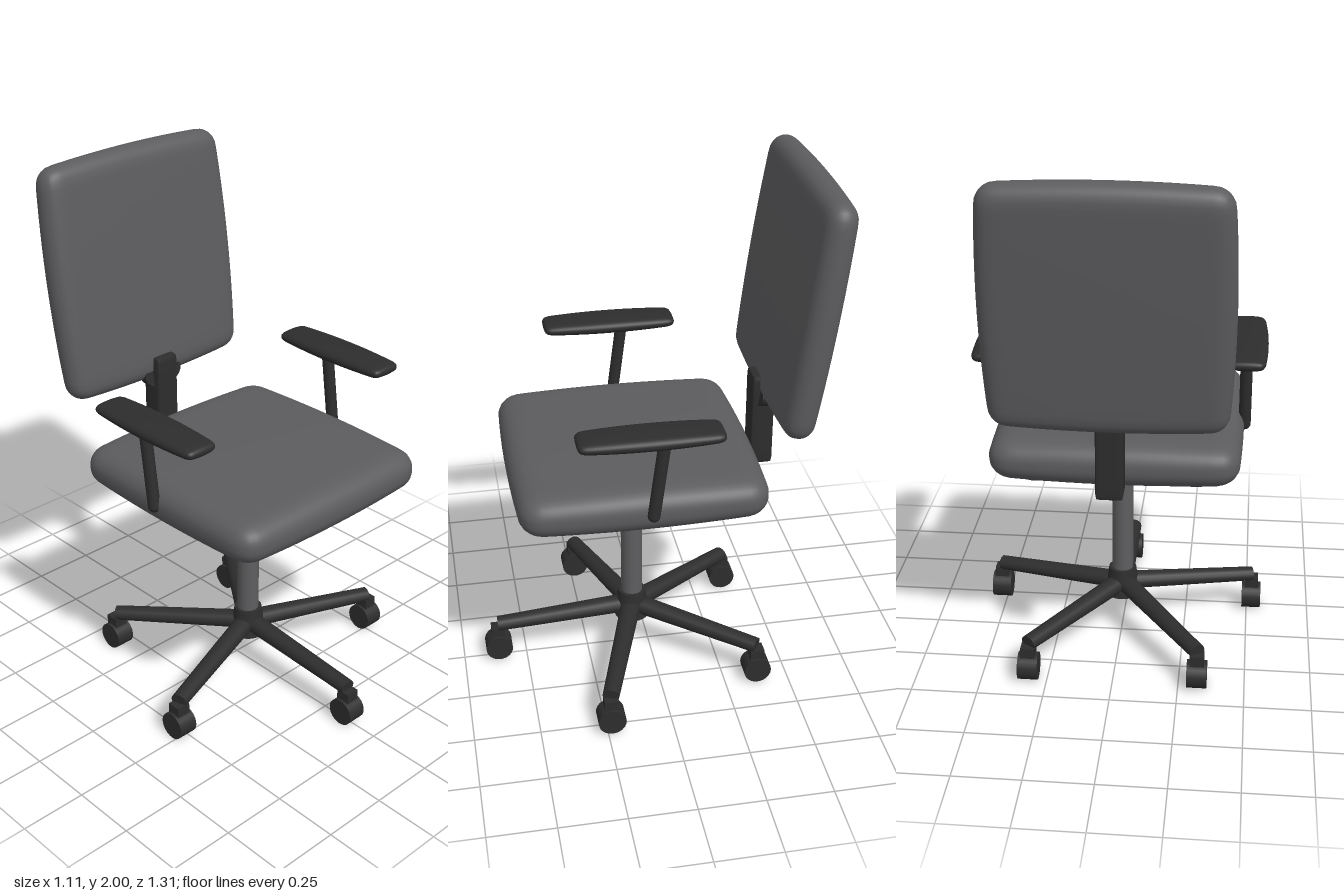
import * as THREE from 'three';
import { mergeVertices } from 'three/addons/utils/BufferGeometryUtils.js';

const CZ = 0.065; // z of the column axis

// Rounded cushion: a box whose vertices are pulled onto a rounded shape, then bowed slightly.
// bow = how far each side retreats towards its ends [x, y, z]
function cushion(w, h, d, r, bow, n = 24) {
  const geo = new THREE.BoxGeometry(2, 2, 2, n, n, n);
  geo.deleteAttribute('normal');
  geo.deleteAttribute('uv');
  const merged = mergeVertices(geo);
  const pos = merged.attributes.position;
  const half = new THREE.Vector3(w, h, d).multiplyScalar(0.5);
  const inner = half.clone().subScalar(r).max(new THREE.Vector3());
  const ease = t => Math.sign(t) * (1 - Math.pow(1 - Math.min(1, Math.abs(t)), 1.6));
  const p = new THREE.Vector3(), c = new THREE.Vector3();
  for (let i = 0; i < pos.count; i++) {
    p.fromBufferAttribute(pos, i);
    p.set(ease(p.x), ease(p.y), ease(p.z)).multiply(half);
    c.copy(p).clamp(inner.clone().negate(), inner);
    p.sub(c).normalize().multiplyScalar(p.lengthSq() > 0 ? r : 0).add(c);
    const u = p.clone().divide(half);
    const sx = u.x * u.x, sy = u.y * u.y, sz = u.z * u.z;
    p.x -= u.x * bow[0] * Math.max(sy * (h > d), sz * (d >= h));
    p.y -= u.y * bow[1] * (h > d ? sx : (sx + sz) / 2);
    p.z -= u.z * bow[2] * (h > d ? (sx + sy) / 2 : sx);
    pos.setXYZ(i, p.x, p.y, p.z);
  }
  merged.computeVertexNormals();
  return merged;
}

// Round bar between two points
function bar(a, b, ra, rb, sides = 16) {
  const dir = b.clone().sub(a);
  const geo = new THREE.CylinderGeometry(rb, ra, dir.length(), sides);
  geo.applyQuaternion(new THREE.Quaternion().setFromUnitVectors(
    new THREE.Vector3(0, 1, 0), dir.clone().normalize()));
  const mid = a.clone().add(b).multiplyScalar(0.5);
  return geo.translate(mid.x, mid.y, mid.z);
}

export function createModel() {
  const chair = new THREE.Group();
  chair.name = 'officeChair';
  const fabric = new THREE.MeshStandardMaterial({ color: 0x5c5c5f });
  fabric.name = 'grey fabric';
  const plastic = new THREE.MeshStandardMaterial({ color: 0x2d2d2d });
  plastic.name = 'black plastic';
  const metal = new THREE.MeshStandardMaterial({ color: 0x5e5e60 });
  metal.name = 'grey metal';

  const add = (name, geo, mat, x = 0, y = 0, z = 0, parent = chair) => {
    const m = new THREE.Mesh(geo, mat);
    m.name = name;
    m.position.set(x, y, z);
    parent.add(m);
    return m;
  };
  const V = (x, y, z) => new THREE.Vector3(x, y, z);

  // Seat and its underplate
  add('seat', cushion(0.93, 0.185, 0.935, 0.085, [0.012, 0.02, 0.015]), fabric, 0, 0.892, 0.078);
  add('seatPlate', new THREE.BoxGeometry(0.64, 0.04, 0.65), plastic, 0, 0.8, CZ);

  // Backrest, leaning back
  const back = add('backrest', cushion(0.865, 0.915, 0.135, 0.066, [0.018, 0.015, 0.01]),
    fabric, 0, 1.544, -0.535);
  back.rotation.x = -0.135;

  // Back support post and its joint with the cushion
  add('backPost', cushion(0.1, 0.375, 0.088, 0.012, [0, 0, 0], 8), plastic, 0, 1.005, -0.435);
  const joint = add('backJoint', new THREE.CylinderGeometry(0.09, 0.09, 0.03, 24), plastic, 0, 1.115, -0.435);
  joint.rotation.x = Math.PI / 2 - 0.135;
  joint.scale.z = 0.6;

  // Gas column with collar and hub
  add('column', new THREE.CylinderGeometry(0.042, 0.042, 0.56, 24), metal, 0, 0.46, CZ);
  add('columnCollar', new THREE.CylinderGeometry(0.078, 0.068, 0.1, 24), plastic, 0, 0.74, CZ);
  add('hub', new THREE.CylinderGeometry(0.054, 0.07, 0.115, 24), plastic, 0, 0.198, CZ);

  // Five-spoke base with casters
  for (let i = 0; i < 5; i++) {
    const a = i * Math.PI * 2 / 5;
    const sx = Math.sin(a), sz = Math.cos(a);
    const spoke = new THREE.Group();
    spoke.name = 'baseSpoke';
    spoke.position.z = CZ;
    spoke.rotation.y = a;
    chair.add(spoke);
    const leg = bar(V(0, 0.188, 0.03), V(0, 0.151, 0.545), 0.035, 0.028);
    leg.scale(1.15, 1, 1);
    add('spokeArm', leg, plastic, 0, 0, 0, spoke);

    const caster = new THREE.Group();
    caster.name = 'caster';
    caster.position.set(0.545 * sx, 0, CZ + 0.545 * sz);
    chair.add(caster);
    add('casterMount', new THREE.BoxGeometry(0.054, 0.06, 0.054), plastic, 0, 0.11, 0, caster);
    const wheel = new THREE.CylinderGeometry(0.053, 0.053, 0.076, 24).rotateZ(Math.PI / 2);
    add('casterWheel', wheel, plastic, 0, 0.053, 0, caster);
  }

  // Armrests, mirrored
  for (const s of [1, -1]) {
    const arm = new THREE.Group();
    arm.name = s > 0 ? 'leftArmrest' : 'rightArmrest';
    chair.add(arm);
    add('armPad', cushion(0.156, 0.054, 0.52, 0.0265, [0.012, 0.012, 0.004], 16),
      plastic, s * 0.468, 1.224, 0.075, arm);
    add('armPost', bar(V(s * 0.467, 0.9, 0.062), V(s * 0.467, 1.21, 0.022), 0.023, 0.023),
      plastic, 0, 0, 0, arm);
    add('armPostFoot', new THREE.SphereGeometry(0.023, 16, 10), plastic, s * 0.467, 0.9, 0.062, arm);
  }
  return chair;
}
